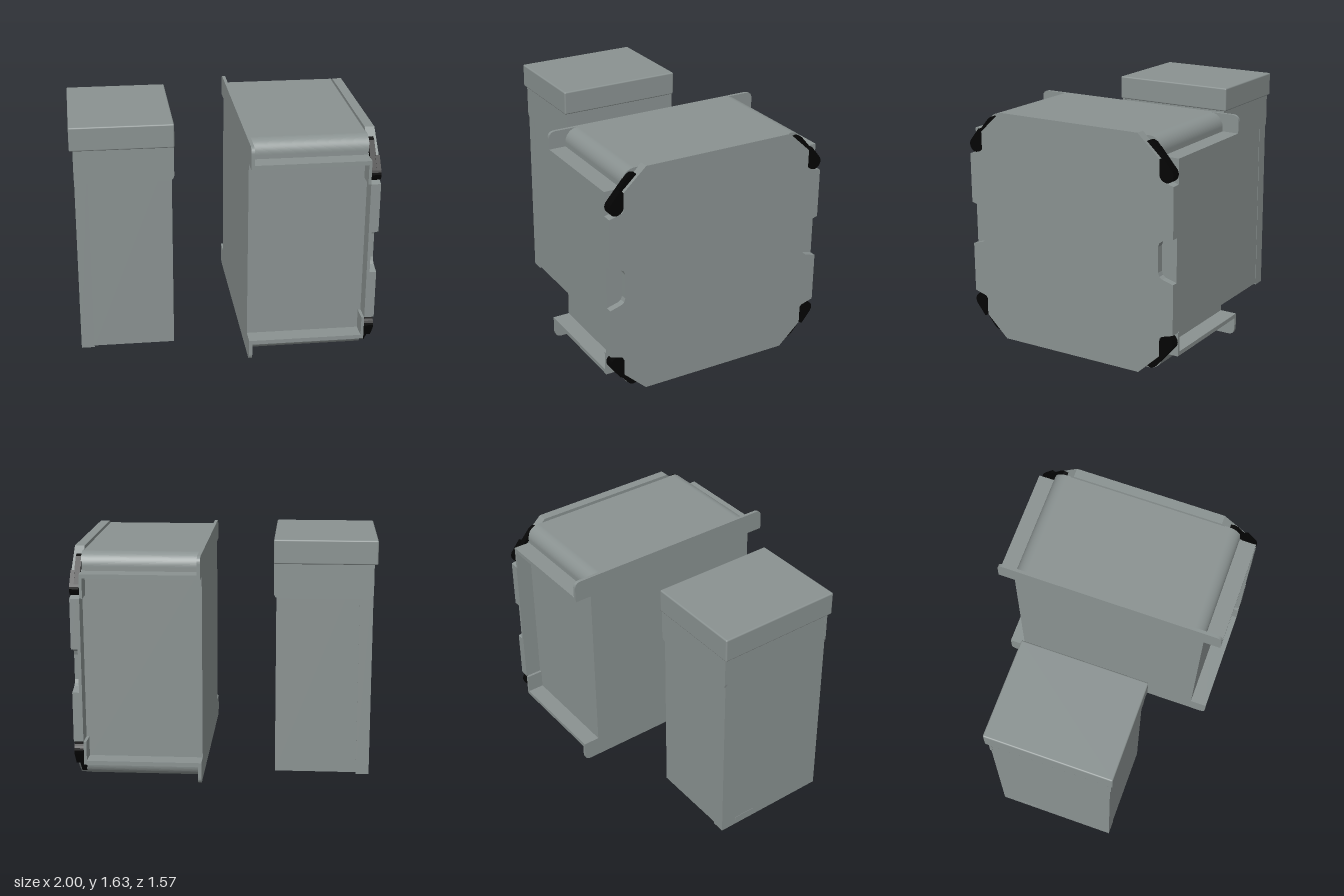
import * as THREE from 'three';
import { RoundedBoxGeometry } from 'three/addons/geometries/RoundedBoxGeometry.js';

const shell = new THREE.MeshStandardMaterial({ color: 0x8a9291 });
const black = new THREE.MeshStandardMaterial({ color: 0x030303 });

function add(parent, name, geometry, material = shell) {
  const mesh = new THREE.Mesh(geometry, material);
  mesh.name = name;
  parent.add(mesh);
  return mesh;
}

// Box given by its limits on each axis
function box(parent, name, [x0, x1], [y0, y1], [z0, z1], radius = 0) {
  const size = [x1 - x0, y1 - y0, z1 - z0];
  const g = radius ? new RoundedBoxGeometry(...size, 3, radius) : new THREE.BoxGeometry(...size);
  g.translate((x0 + x1) / 2, (y0 + y1) / 2, (z0 + z1) / 2);
  return add(parent, name, g);
}

// Shape drawn in (-z, y), extruded from x0 to x1
function extrudeX(shape, x0, x1) {
  const g = new THREE.ExtrudeGeometry(shape, { depth: x1 - x0, bevelEnabled: false, curveSegments: 10 });
  return g.rotateY(Math.PI / 2).translate(x0, 0, 0);
}

const polygon = (points) => new THREE.Shape(points.map(([u, v]) => new THREE.Vector2(u, v)));

function roundedRect(w, h, r) {
  const s = new THREE.Shape();
  const x = w / 2, y = h / 2, q = Math.PI / 2;
  s.absarc(x - r, y - r, r, 0, q);
  s.absarc(-x + r, y - r, r, q, 2 * q);
  s.absarc(-x + r, -y + r, r, 2 * q, 3 * q);
  s.absarc(x - r, -y + r, r, 3 * q, 4 * q);
  s.closePath();
  return s;
}

// Tall container with a lid and side collars
function createTallBox() {
  const g = new THREE.Group();
  g.name = 'tallBox';
  box(g, 'tallBody', [-0.885, -0.328], [0.011, 1.48], [-0.41, 0.41]);
  box(g, 'sidePanel', [-0.975, -0.885], [0, 1.48], [-0.413, 0.413]);
  box(g, 'panelTab', [-0.977, -0.97], [0.035, 0.06], [-0.3, -0.15]);
  box(g, 'lid', [-1, -0.309], [1.469, 1.633], [-0.433, 0.436], 0.01);

  // Collar plates, rounded at their lower corners
  const s = new THREE.Shape();
  s.moveTo(-0.977, 1.48);
  s.lineTo(-0.977, 1.273);
  s.quadraticCurveTo(-0.977, 1.233, -0.937, 1.233);
  s.lineTo(-0.352, 1.233);
  s.quadraticCurveTo(-0.312, 1.233, -0.312, 1.273);
  s.lineTo(-0.312, 1.48);
  for (const z of [-0.42, 0.4]) {
    add(g, 'collarPlate', new THREE.ExtrudeGeometry(s, { depth: 0.02, bevelEnabled: false })).position.z = z;
  }
  return g;
}

// Cover outline, optionally with a grip notch in each side; v is measured from mid height
function coverShape(notched) {
  const corner = [[0.787, 0.485], [0.70, 0.51], [0.687, 0.525], [0.687, 0.645], [0.53, 0.79]];
  const notch = [[0.787, -0.147], [0.71, -0.125], [0.688, -0.11], [0.679, -0.085],
    [0.679, 0.085], [0.688, 0.11], [0.71, 0.125], [0.787, 0.147]];
  const flip = (pts, a, b) => pts.map(([u, v]) => [u * a, v * b]);
  const half = [...flip(corner, 1, -1).reverse(), ...(notched ? notch : []), ...corner];
  return polygon([...half, ...flip(half, -1, 1).reverse()]);
}

// Wide housing with rails, corner flanges, cover and latches
function createHousing() {
  const g = new THREE.Group();
  g.name = 'housing';
  const mid = 0.808;
  add(g, 'housingBody', extrudeX(roundedRect(1.34, 1.536, 0.09), 0.15, 0.94)).position.y = mid;
  add(g, 'coverBase', extrudeX(coverShape(false), 0.935, 0.955)).position.y = mid;
  add(g, 'coverFace', extrudeX(coverShape(true), 0.955, 1)).position.y = mid;

  for (const sy of [-1, 1]) {
    for (const sz of [-1, 1]) {
      const range = (a, b, s, o = 0) => [Math.min(a * s, b * s) + o, Math.max(a * s, b * s) + o];
      const side = range(0.6, 0.787, sz);
      box(g, 'rail', [0.15, 0.935], range(0.62, 0.648, sy, mid), side);
      box(g, 'cornerTab', [0.916, 0.935], range(0.487, 0.648, sy, mid), side);

      // End flange with one rounded outer corner
      const f = new THREE.Shape();
      f.moveTo(0.55 * sz, 0.62 * sy);
      f.lineTo(0.787 * sz, 0.62 * sy);
      f.lineTo(0.787 * sz, 0.72 * sy);
      f.quadraticCurveTo(0.787 * sz, 0.768 * sy, 0.739 * sz, 0.768 * sy);
      f.lineTo(0.55 * sz, 0.768 * sy);
      add(g, 'endFlange', extrudeX(f, 0.15, 0.172)).position.y = mid;

      // Latch: round foot with an arm slanting up along the cover's cut corner
      const foot = [];
      for (let i = 0; i <= 12; i++) {
        const a = Math.PI + (i / 12) * (Math.PI + 0.6);
        foot.push([0.737 + 0.05 * Math.cos(a), 0.55 + 0.05 * Math.sin(a)]);
      }
      const place = (pts) => polygon(pts.map(([u, v]) => [u * sz, v * sy]));
      const arm = [[0.64, 0.738], [0.615, 0.75], [0.59, 0.744], [0.58, 0.732], [0.687, 0.645]];
      const knob = [[0.713, 0.66], [0.687, 0.645]];
      add(g, 'latch', extrudeX(place([...foot, ...arm]), 0.936, 0.976), black).position.y = mid;
      add(g, 'latchKnob', extrudeX(place([...foot, ...knob]), 0.97, 0.999), black).position.y = mid;
    }
  }
  return g;
}

export function createModel() {
  const model = new THREE.Group();
  model.name = 'boxAndHousing';
  model.add(createTallBox(), createHousing());
  return model;
}
